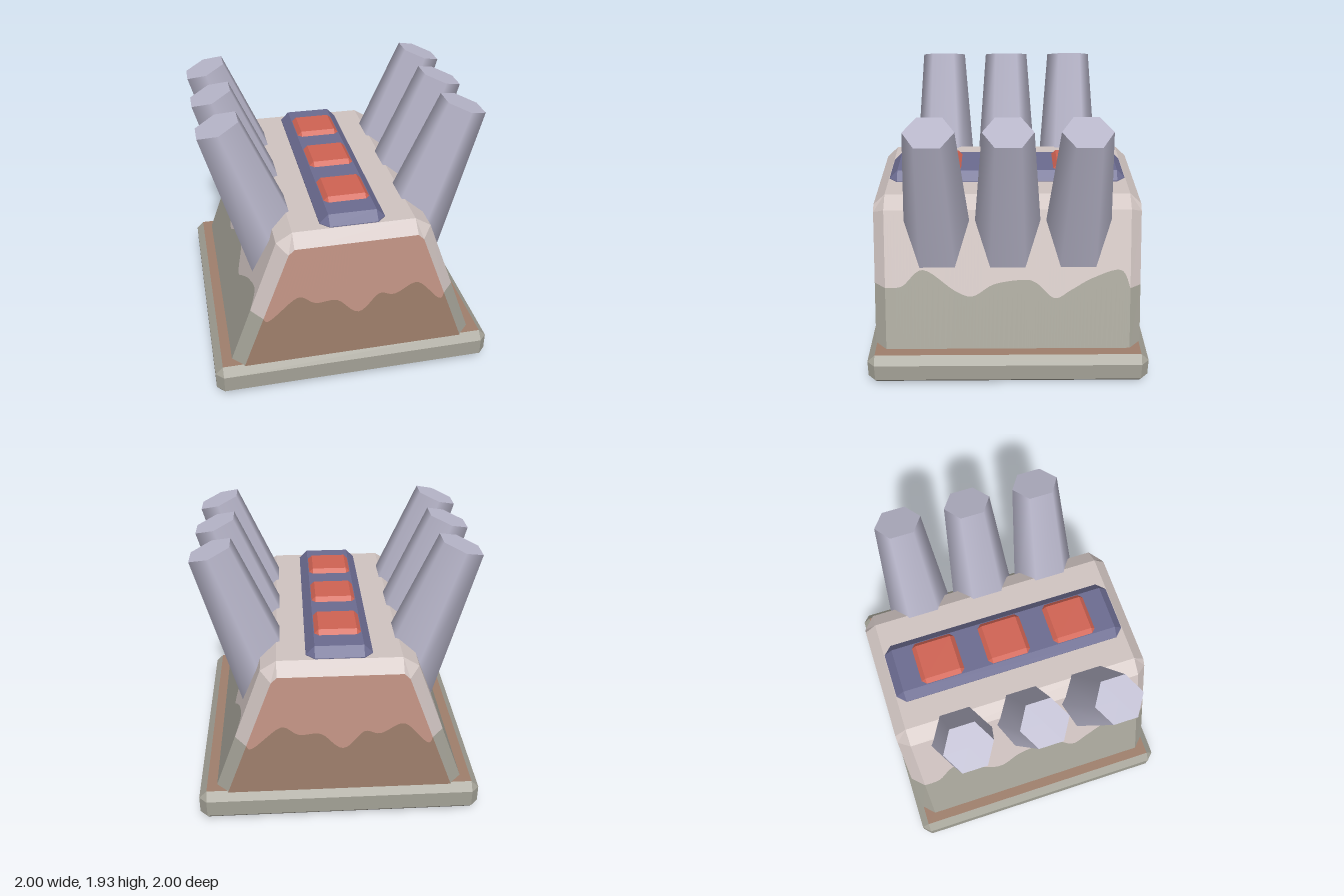
import * as THREE from 'three';
import { ConvexGeometry } from 'three/addons/geometries/ConvexGeometry.js';

const mat = (name, color) => {
  const m = new THREE.MeshStandardMaterial({ color });
  m.name = name;
  return m;
};
const V = (x, y, z) => new THREE.Vector3(x, y, z);

function add(parent, name, geometry, material) {
  const mesh = new THREE.Mesh(geometry, material);
  mesh.name = name;
  parent.add(mesh);
  return mesh;
}

// Flat-shaded ribbon between two matching point lists (left to right, seen from outside)
function strip(low, high) {
  const pts = [];
  for (let i = 0; i < low.length - 1; i++) {
    pts.push(low[i], low[i + 1], high[i + 1], low[i], high[i + 1], high[i]);
  }
  const geo = new THREE.BufferGeometry().setFromPoints(pts);
  geo.computeVertexNormals();
  return geo;
}

// Box with every edge cut at 45 degrees
function bevelBox(hx, hy, hz, c) {
  const pts = [];
  for (const x of [-1, 1]) for (const y of [-1, 1]) for (const z of [-1, 1]) {
    pts.push(
      V(x * hx, y * (hy - c), z * (hz - c)),
      V(x * (hx - c), y * hy, z * (hz - c)),
      V(x * (hx - c), y * (hy - c), z * hz));
  }
  return new ConvexGeometry(pts);
}

// Material 1 on horizontal faces, material 0 elsewhere
function groupFlatFaces(geo) {
  const n = geo.attributes.normal;
  for (let i = 0; i < n.count; i += 3) {
    geo.addGroup(i, 3, Math.abs(n.getY(i)) > 0.99 ? 1 : 0);
  }
  return geo;
}

// Smooth wavy line through [position, height] pairs
function wave(pairs) {
  const curve = new THREE.SplineCurve(pairs.map(([a, b]) => new THREE.Vector2(a, b)));
  return curve.getPoints((pairs.length - 1) * 6);
}

export function createModel() {
  const model = new THREE.Group();
  model.name = 'ventedBlock';

  const stone = mat('greyStone', 0xa3a196);
  const pale = mat('paleStone', 0xd0c4c1);
  const brown = mat('brown', 0x9f7f6c);
  const pink = mat('dustyPink', 0xc79788);
  const slate = mat('slateBlue', 0x6b6b90);
  const lilac = mat('lilacGrey', 0xb8b6ca);
  const red = mat('red', 0xd06353);

  // Base slab with brown top and underside
  const base = add(model, 'baseSlab', groupFlatFaces(bevelBox(1, 0.115, 1, 0.054)), [stone, brown]);
  base.position.y = 0.115;

  // Wave lines dividing the lower and upper body colours
  const frontWave = wave([[-1, 0.62], [-0.913, 0.6], [-0.68, 0.765], [-0.455, 0.7], [-0.21, 0.7],
    [0.03, 0.575], [0.26, 0.71], [0.44, 0.69], [0.73, 0.765], [0.913, 0.6], [1, 0.64]]);
  const sideWave = wave([[0.87, 0.65], [0.75, 0.66], [0.6, 0.77], [0.38, 0.63], [0.25, 0.59],
    [0.1, 0.67], [-0.1, 0.7], [-0.2, 0.68], [-0.33, 0.575], [-0.45, 0.63], [-0.6, 0.71],
    [-0.8, 0.765], [-0.87, 0.64]]);

  // A column is [bottom, split, top]
  const column = (bottom, top, y) =>
    [bottom, bottom.clone().lerp(top, (y - bottom.y) / (top.y - bottom.y)), top];
  const frontCols = frontWave.map(({ x: u, y }) => column(
    V(0.797 * u, 0.21, 0.955),
    V(0.46 * u, Math.min(1.16, 1.12 + (1 - Math.abs(u)) * 0.46), 0.955), y));
  const sideCols = sideWave.map(({ x: z, y }) => column(V(0.882, 0.21, z), V(0.53, 1.17, z), y));
  const leftEdge = column(V(-0.882, 0.21, 0.87), V(-0.53, 1.17, 0.87), 0.64);

  const walls = [
    ['cornerLeft', [leftEdge, frontCols[0]], stone, pale],
    ['endPanel', frontCols, brown, pink],
    ['cornerRight', [frontCols[frontCols.length - 1], sideCols[0]], stone, pale],
    ['sideWall', sideCols, stone, pale],
  ];

  // Each half of the body is one end and one side; the other half is turned by 180 degrees
  for (const [halfName, turn] of [['frontHalf', 0], ['backHalf', Math.PI]]) {
    const half = new THREE.Group();
    half.name = halfName;
    half.rotation.y = turn;
    model.add(half);
    for (const [name, cols, lowMat, highMat] of walls) {
      const row = (k) => cols.map((c) => c[k]);
      add(half, name + 'Lower', strip(row(0), row(1)), lowMat);
      add(half, name + 'Upper', strip(row(1), row(2)), highMat);
    }
    // Bevelled shoulder and flat roof
    const a = V(-0.42, 1.24, 0.87), b = V(0.42, 1.24, 0.87), c = V(0.42, 1.24, -0.87);
    add(half, 'shoulder', strip(
      [V(-0.53, 1.17, 0.87), V(-0.46, 1.12, 0.955), V(-0.42, 1.16, 0.955), V(0.42, 1.16, 0.955),
        V(0.46, 1.12, 0.955), V(0.53, 1.17, 0.87), V(0.53, 1.17, -0.87)],
      [a, a, a, b, b, b, c]), pale);
    add(half, 'roof', strip([a, b], [V(-0.42, 1.24, 0), V(0.42, 1.24, 0)]), pale);
  }

  // Ridge bar with three buttons
  const bar = add(model, 'ridgeBar', bevelBox(0.225, 0.065, 0.865, 0.06), slate);
  bar.position.y = 1.24;
  const buttonGeo = bevelBox(0.16, 0.06, 0.16, 0.03);
  // Slanted, tapering six-sided pipes on both sides
  const length = 1.3, tilt = 0.344;
  const pipeGeo = new THREE.CylinderGeometry(0.165, 0.267, length, 6);
  pipeGeo.translate(0, -length / 2, 0);
  for (const z of [-0.5, 0, 0.5]) {
    add(model, 'button', buttonGeo, red).position.set(0, 1.275, z);
    for (const side of [-1, 1]) {
      const pipe = add(model, side > 0 ? 'leftPipe' : 'rightPipe', pipeGeo, lilac);
      pipe.position.set(side * 0.8325, 1.878, z);
      pipe.rotation.z = -side * tilt;
    }
  }
  return model;
}
